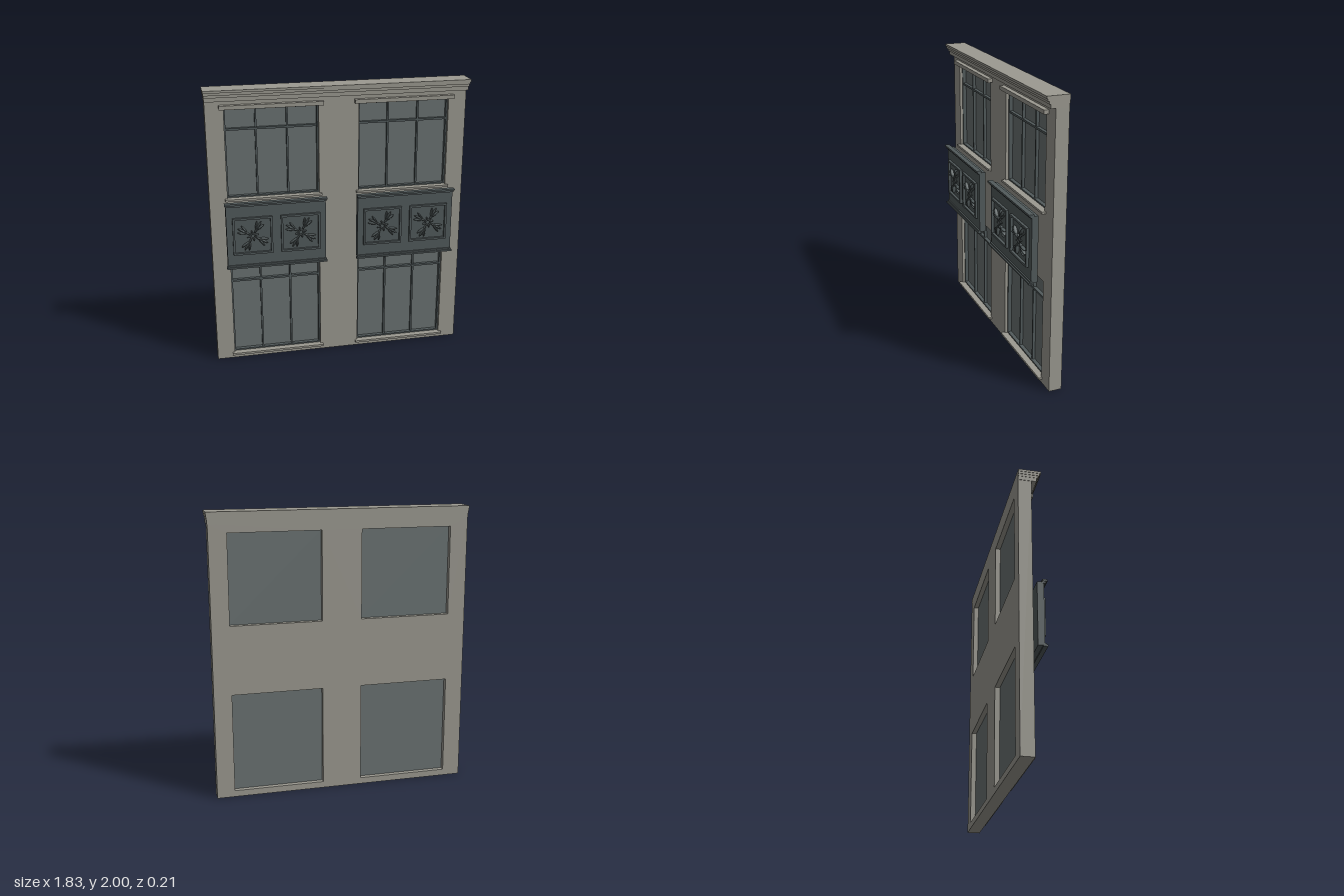
import * as THREE from 'three';

const mat = (name, color) => {
  const m = new THREE.MeshStandardMaterial({ color });
  m.name = name;
  return m;
};

export function createModel() {
  const stone = mat('stone', 0x9c9a91);
  const glassMat = mat('glass', 0x6b7373);
  const metal = mat('dark metal', 0x525b5c);
  const root = new THREE.Group();
  root.name = 'facade';

  // box given by its min and max corners
  const box = (parent, name, material, x0, x1, y0, y1, z0, z1) => {
    const m = new THREE.Mesh(new THREE.BoxGeometry(x1 - x0, y1 - y0, z1 - z0), material);
    m.position.set((x0 + x1) / 2, (y0 + y1) / 2, (z0 + z1) / 2);
    m.name = name;
    parent.add(m);
    return m;
  };
  // rectangular ring extruded along z
  const ring = (parent, name, material, w, h, t, z0, z1, cx, cy) => {
    const s = rect(new THREE.Shape(), -w / 2, w / 2, -h / 2, h / 2);
    s.holes.push(rect(new THREE.Path(), -w / 2 + t, w / 2 - t, -h / 2 + t, h / 2 - t));
    const m = new THREE.Mesh(new THREE.ExtrudeGeometry(s, { depth: z1 - z0, bevelEnabled: false }), material);
    m.position.set(cx, cy, z0);
    m.name = name;
    parent.add(m);
  };
  const rect = (p, x0, x1, y0, y1) =>
    p.moveTo(x0, y0).lineTo(x1, y0).lineTo(x1, y1).lineTo(x0, y1).closePath();

  const BACK = -0.105, FRONT = -0.015;
  const bays = [-0.46, 0.46], halfW = 0.32;
  const floors = [
    { y0: 0.045, y1: 0.75, transom: 0.605 },
    { y0: 1.235, y1: 1.86, transom: 1.715 },
  ];

  // wall with four openings
  const wallShape = rect(new THREE.Shape(), -0.905, 0.905, 0, 1.925);
  for (const cx of bays) for (const f of floors)
    wallShape.holes.push(rect(new THREE.Path(), cx - halfW, cx + halfW, f.y0, f.y1));
  const wall = new THREE.Mesh(
    new THREE.ExtrudeGeometry(wallShape, { depth: FRONT - BACK, bevelEnabled: false }), stone);
  wall.position.z = BACK;
  wall.name = 'wall';
  root.add(wall);

  // stepped cornice: half width, bottom, top, front
  const cornice = new THREE.Group();
  cornice.name = 'cornice';
  root.add(cornice);
  [[0.908, 1.92, 1.948, 0.02], [0.91, 1.948, 1.966, 0.03],
    [0.913, 1.966, 1.984, 0.041], [0.916, 1.984, 2, 0.05]].forEach(([w, y0, y1, z]) =>
    box(cornice, 'corniceStep', stone, -w, w, y0, y1, BACK, z));

  // windows
  const buildWindow = (cx, f) => {
    const g = new THREE.Group();
    g.name = 'window';
    root.add(g);
    const l = cx - halfW, r = cx + halfW, h = f.y1 - f.y0;
    box(g, 'glass', glassMat, l, r, f.y0, f.y1, -0.07, -0.062);
    ring(g, 'windowFrame', metal, 2 * halfW, h, 0.01, -0.062, -0.035, cx, f.y0 + h / 2);
    for (const s of [-1, 1])
      box(g, 'mullion', metal, cx + s * 0.107 - 0.006, cx + s * 0.107 + 0.006, f.y0, f.y1, -0.062, -0.042);
    box(g, 'transom', metal, l, r, f.y0 + 0 + (f.transom - f.y0) - 0.007, f.transom + 0.007, -0.062, -0.039);
    box(g, 'sill', stone, cx - 0.337, cx + 0.337, f.y0 - 0.015, f.y0, FRONT, 0.01);
  };

  // carved ornament: four sprays of leaves round a small boss
  const leafGeo = new THREE.SphereGeometry(1, 10, 6);
  const buildOrnament = (parent, x, y, z) => {
    const g = new THREE.Group();
    g.name = 'ornament';
    g.position.set(x, y, z);
    parent.add(g);
    const leaf = (name, angle, from, to, width, depth, bend = 0) => {
      const m = new THREE.Mesh(leafGeo, metal);
      const mid = (from + to) / 2;
      m.scale.set((to - from) / 2, width, depth);
      m.position.set(Math.cos(angle) * mid, Math.sin(angle) * mid, 0.004);
      m.rotation.z = angle + bend;
      m.name = name;
      g.add(m);
    };
    for (let i = 0; i < 4; i++) {
      const a = Math.PI / 3 + i * Math.PI / 2;
      leaf('stem', a, 0.02, 0.075, 0.007, 0.011);
      for (const s of [-1, 0, 1])
        leaf('leaf', a + s * 0.2, 0.045, s ? 0.112 : 0.12, 0.007, 0.015, s * 0.2);
      leaf('bud', a + Math.PI / 4, 0.012, 0.042, 0.006, 0.011);
    }
    const boss = new THREE.Mesh(new THREE.TorusGeometry(0.018, 0.006, 6, 16), metal);
    boss.position.z = 0.005;
    boss.name = 'boss';
    g.add(boss);
  };

  // spandrel panel between the floors
  const buildSpandrel = (cx) => {
    const g = new THREE.Group();
    g.name = 'spandrel';
    root.add(g);
    const slab = (name, w, y0, y1, z0, z1) => box(g, name, metal, cx - w, cx + w, y0, y1, z0, z1);
    slab('panel', 0.346, 0.765, 1.218, 0.037, 0.082);
    slab('topMoulding', 0.349, 1.208, 1.222, 0.07, 0.094);
    slab('topCap', 0.354, 1.222, 1.235, 0.07, 0.105);
    slab('bottomMoulding', 0.349, 0.768, 0.779, 0.07, 0.092);
    slab('bottomCap', 0.354, 0.756, 0.768, 0.07, 0.1);
    for (const s of [-1, 1]) {
      const x = cx + s * 0.167;
      ring(g, 'panelFrame', metal, 0.275, 0.27, 0.014, 0.08, 0.1, x, 0.992);
      buildOrnament(g, x, 0.992, 0.088);
    }
  };

  for (const cx of bays) {
    floors.forEach((f) => buildWindow(cx, f));
    buildSpandrel(cx);
    box(root, 'lintel', stone, cx - 0.352, cx + 0.352, 1.863, 1.89, FRONT, 0.018);
  }

  // centre the depth
  root.children.forEach((c) => { c.position.z -= 0.0; });
  return root;
}
